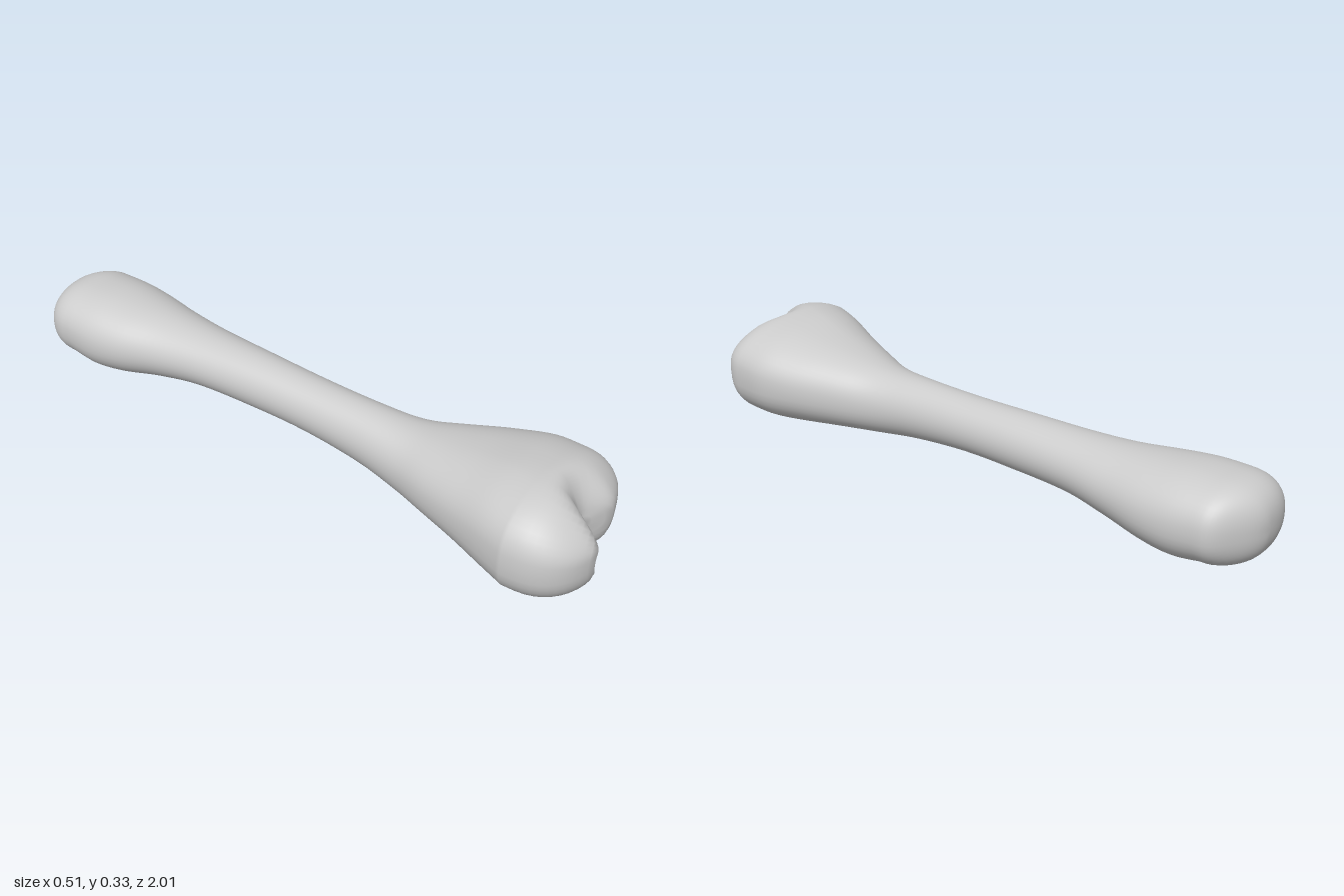
import * as THREE from 'three';

const { smoothstep } = THREE.MathUtils;

// Cross-sections from back to front: z, roundness exponent, xMin, xMax, yMin, yMax
const SECTIONS = [
  [-0.87, 2.3, -0.168, 0.166, 0.04, 0.285],
  [-0.78, 2.2, -0.17, 0.172, 0.025, 0.286],
  [-0.68, 2.1, -0.155, 0.165, 0.033, 0.278],
  [-0.55, 2.0, -0.117, 0.14, 0.055, 0.267],
  [-0.40, 2.0, -0.09, 0.117, 0.077, 0.26],
  [-0.20, 2.0, -0.075, 0.105, 0.08, 0.256],
  [0.00, 2.0, -0.07, 0.10, 0.077, 0.25],
  [0.20, 2.0, -0.077, 0.105, 0.057, 0.249],
  [0.35, 2.1, -0.10, 0.125, 0.035, 0.25],
  [0.47, 2.2, -0.14, 0.17, 0.025, 0.27],
  [0.60, 2.3, -0.185, 0.222, 0.015, 0.30],
  [0.71, 2.5, -0.225, 0.252, 0.008, 0.325],
  [0.80, 2.6, -0.255, 0.25, 0.003, 0.333],
];
const SIDES = 48, BODY = 60, CAP = 14;
const FRONT = 0.8, BACK = -0.87;

const spline = (a, b) => new THREE.SplineCurve(SECTIONS.map((s) => new THREE.Vector2(s[a], s[b])));
const along = spline(0, 1), across = spline(2, 3), upright = spline(4, 5);

// How far the front end bulges: two knuckles with a notch between them
function frontBulge(x, y) {
  const knuckles = 0.1 + 0.113 * smoothstep(-x, 0.01, 0.1) + 0.06 * smoothstep(x, 0, 0.11);
  return knuckles * (1 - 0.25 * smoothstep(y, 0.2, 0.34));
}

// The back end is a rounded head, cut away towards +x
function backBulge(x) {
  return 0.135 - 0.04 * smoothstep(x, 0, 0.16);
}

// One ring of points; scale shrinks it and bulge (-1..1) pushes it out at an end
function addRing(out, t, scale, bulge) {
  const { x: z0, y: n } = along.getPoint(t);
  const { x: x0, y: x1 } = across.getPoint(t);
  const { x: y0, y: y1 } = upright.getPoint(t);
  for (let j = 0; j < SIDES; j++) {
    const a = (j / SIDES) * Math.PI * 2, c = Math.cos(a), s = Math.sin(a);
    const px = Math.sign(c) * Math.abs(c) ** (2 / n) * scale;
    const py = Math.sign(s) * Math.abs(s) ** (2 / n) * scale;
    const x = (x0 + x1) / 2 + px * (x1 - x0) / 2;
    let y = (y0 + y1) / 2 + py * (y1 - y0) / 2;
    let z = z0;
    if (bulge > 0) z += bulge * frontBulge(x, y);
    if (bulge < 0) z += bulge * backBulge(x);
    // Upper side slopes down towards +x near the knuckles
    const end = smoothstep(z0, 0.45, FRONT);
    y -= end * 0.1 * Math.max(py, 0) * Math.max(x + 0.04, 0);
    // Shallow hollow under the knuckles
    const hollow = Math.exp(-(((x + 0.01) / 0.05) ** 2)) * Math.max(-py, 0);
    y += hollow * 0.025 * smoothstep(z, 0.72, 0.88);
    out.push(x, y, z);
  }
}

function boneGeometry() {
  const pos = [], index = [];
  const capRing = (t, k, side) => {
    const a = (k / CAP) * Math.PI / 2;
    const scale = k === CAP ? 0 : Math.cos(a) ** 0.8;
    addRing(pos, t, scale, side * Math.sin(a) ** 0.8);
  };
  for (let k = CAP; k > 0; k--) capRing(0, k, -1);
  for (let i = 0; i <= BODY; i++) addRing(pos, i / BODY, 1, 0);
  for (let k = 1; k <= CAP; k++) capRing(1, k, 1);

  // Each end closes on a single shared point
  const rings = pos.length / 3 / SIDES;
  const id = (i, j) => i * SIDES + (i === 0 || i === rings - 1 ? 0 : j % SIDES);
  for (let i = 0; i < rings - 1; i++) {
    for (let j = 0; j < SIDES; j++) {
      const a = id(i, j), b = id(i, j + 1), c = id(i + 1, j + 1), d = id(i + 1, j);
      if (a !== b) index.push(a, b, d);
      if (c !== d) index.push(b, c, d);
    }
  }
  const geometry = new THREE.BufferGeometry();
  geometry.setAttribute('position', new THREE.Float32BufferAttribute(pos, 3));
  geometry.setIndex(index);
  geometry.computeVertexNormals();
  return geometry;
}

export function createModel() {
  const group = new THREE.Group();
  group.name = 'legBone';
  const bone = new THREE.Mesh(boneGeometry(), new THREE.MeshStandardMaterial({ color: 0xcccccc }));
  bone.name = 'bone';
  group.add(bone);
  return group;
}
